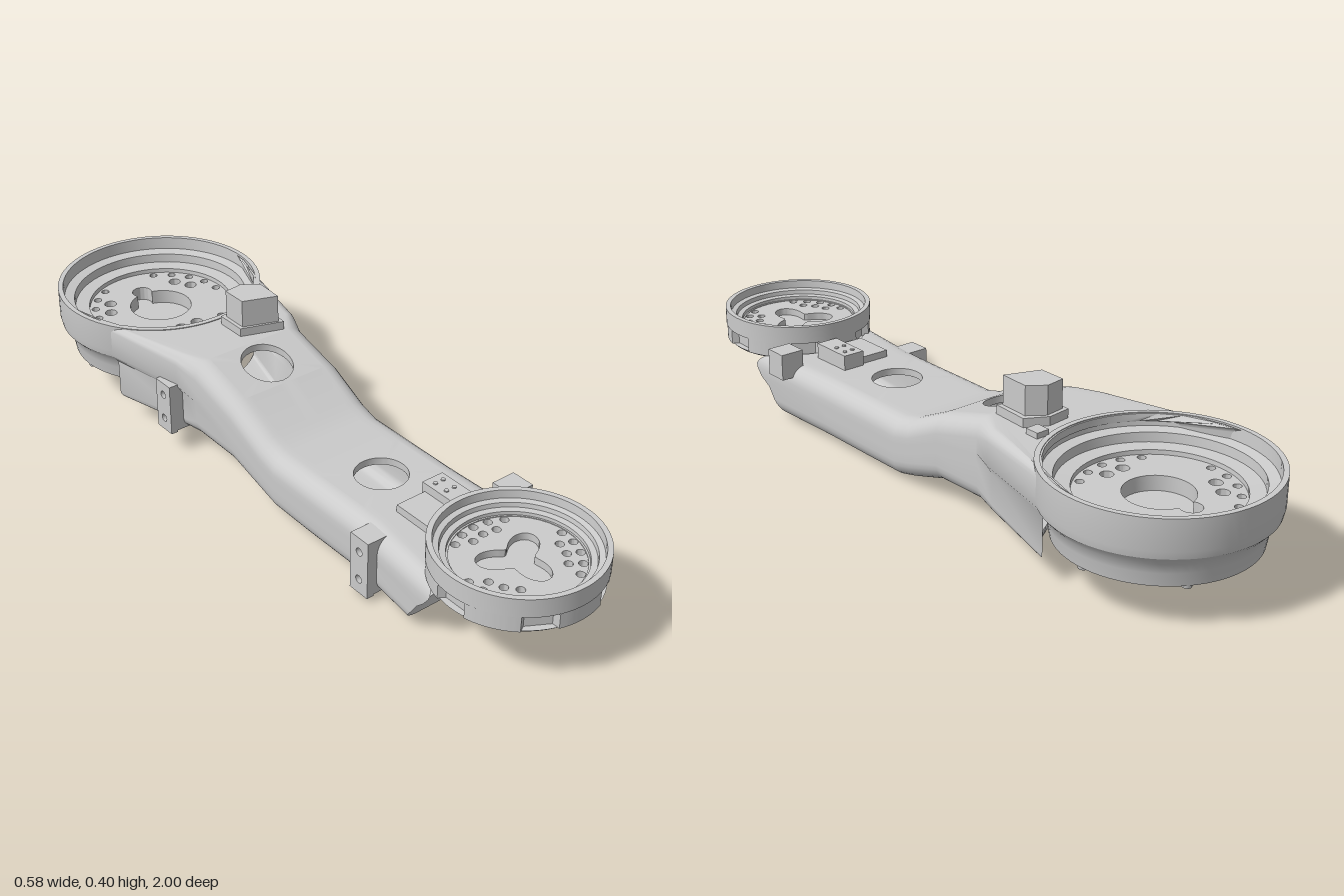
import * as THREE from 'three';
import { toCreasedNormals } from 'three/addons/utils/BufferGeometryUtils.js';

const grey = new THREE.MeshStandardMaterial({ color: 0xcccccc, side: THREE.DoubleSide });
const V = (x, y, z) => new THREE.Vector3(x, y, z);
const lerp = THREE.MathUtils.lerp;
const REAR = { x: 0, z: -0.71 }, FRONT = { x: -0.022, z: 0.788 };

function add(parent, name, geo, x = 0, y = 0, z = 0) {
  const m = new THREE.Mesh(geo, grey);
  m.name = name;
  m.position.set(x, y, z);
  parent.add(m);
  return m;
}
function box(parent, name, x0, x1, y0, y1, z0, z1) {
  return add(parent, name, new THREE.BoxGeometry(x1 - x0, y1 - y0, z1 - z0), (x0 + x1) / 2, (y0 + y1) / 2, (z0 + z1) / 2);
}
// Horizontal plate: shape y points to -z, thickness goes up
function slab(shape, h) {
  const g = new THREE.ExtrudeGeometry(shape, { depth: h, bevelEnabled: false, curveSegments: 20 });
  g.rotateX(-Math.PI / 2);
  return toCreasedNormals(g, 0.5);
}
function lathe(pts) {
  return toCreasedNormals(new THREE.LatheGeometry(pts.map(p => new THREE.Vector2(...p)), 72), 0.5);
}
function disc(r, holes = []) {
  const s = new THREE.Shape().absarc(0, 0, r, 0, Math.PI * 2, false);
  s.holes.push(...holes);
  return s;
}

// ---- hollow arm: rounded sections [z, centre, topHalf, lowHalf, bottom, top, radius, hole]
const SECTIONS = [
  [0.61, -0.02, 0.195, 0.19, 0.01, 0.178, 0.045],
  [0.45, -0.012, 0.18, 0.18, 0.01, 0.18, 0.05],
  [0.39, -0.012, 0.178, 0.178, 0.01, 0.18, 0.05, { x: -0.015, z: 0.3 }],
  [0.21, -0.012, 0.178, 0.178, 0.01, 0.18, 0.05],
  [0.08, -0.011, 0.178, 0.178, 0.012, 0.18, 0.05],
  [0.02, -0.01, 0.178, 0.178, 0.027, 0.196, 0.05],
  [-0.1, -0.01, 0.18, 0.18, 0.065, 0.253, 0.05, { x: -0.01, z: -0.18 }],
  [-0.26, -0.01, 0.18, 0.18, 0.068, 0.298, 0.05],
  [-0.33, -0.004, 0.2, 0.185, 0.067, 0.298, 0.03],
  [-0.5, 0, 0.283, 0.235, 0.065, 0.298, 0.015],
];
const M = 14, ARC = 6;

function ring([z, c, wt, wb, bot, top, r], index, inset) {
  if (inset) { wt -= 0.052; wb -= 0.052; bot += lerp(0.03, 0.015, index / 9); top -= 0.02; r = Math.max(0.012, r - 0.02); }
  const mid = lerp(bot, top, 0.6), pts = [];
  const arc = (cx, cy, a0, from, to) => {
    for (let k = from; k <= to; k++) {
      const a = a0 - k / ARC * Math.PI / 2;
      pts.push(V(cx + r * Math.cos(a), cy + r * Math.sin(a), z));
    }
  };
  for (let k = 0; k <= M; k++) pts.push(V(c + lerp(r - wt, wt - r, k / M), top, z));
  arc(c + wt - r, top - r, Math.PI / 2, 1, ARC);
  pts.push(V(c + wt, mid, z), V(c + wb, mid - 0.025, z));
  arc(c + wb - r, bot + r, 0, 0, ARC);
  for (let k = 1; k < M; k++) pts.push(V(c + lerp(wb - r, r - wb, k / M), bot, z));
  arc(c - wb + r, bot + r, -Math.PI / 2, 0, ARC);
  pts.push(V(c - wb, mid - 0.025, z), V(c - wt, mid, z));
  arc(c - wt + r, top - r, Math.PI, 0, ARC - 1);
  // Both ends follow the round seats; the front end also slants back toward the floor
  const seat = (s, R, x) => Math.sqrt(Math.max(0, R * R - (x - s.x) ** 2));
  if (index === 0) pts.forEach(p => { p.z = lerp(0.61, FRONT.z - seat(FRONT, 0.2, p.x), (p.y - 0.01) / 0.168); });
  if (index === SECTIONS.length - 1) pts.forEach(p => { p.z = REAR.z + seat(REAR, 0.272, p.x); });
  return pts;
}

function armGeometry() {
  const pos = [];
  const quad = (a, b, c, d) => [a, b, c, a, c, d].forEach(p => pos.push(p.x, p.y, p.z));
  const outer = SECTIONS.map((s, i) => ring(s, i, false));
  const inner = SECTIONS.map((s, i) => ring(s, i, true));
  const n = outer[0].length;
  // Top skin around a round access hole
  const patch = (A, B, h, flip, wallTo) => {
    const a = A[0], b = A[M], e = B[0], f = B[M], edge = [];
    [[a, b], [b, f], [f, e], [e, a]].forEach(([p, q]) => {
      for (let k = 0; k < 12; k++) edge.push(p.clone().lerp(q, k / 12));
    });
    const yAt = (z, P, Q) => lerp(P[0].y, Q[0].y, (z - a.z) / (e.z - a.z));
    const rim = (p, P, Q) => {
      const t = Math.atan2(p.z - h.z, p.x - h.x), z = h.z + 0.07 * Math.sin(t);
      return V(h.x + 0.07 * Math.cos(t), yAt(z, P, Q), z);
    };
    edge.forEach((p, k) => {
      const q = edge[(k + 1) % edge.length], rp = rim(p, A, B), rq = rim(q, A, B);
      flip ? quad(q, p, rp, rq) : quad(p, q, rq, rp);
      if (wallTo) quad(rp, rq, rim(q, ...wallTo), rim(p, ...wallTo));
    });
  };
  for (let i = 0; i < SECTIONS.length - 1; i++) {
    const hole = SECTIONS[i][7];
    for (let j = 0; j < n; j++) {
      if (hole && j < M) continue;
      const k = (j + 1) % n;
      quad(outer[i][j], outer[i][k], outer[i + 1][k], outer[i + 1][j]);
      quad(inner[i][k], inner[i][j], inner[i + 1][j], inner[i + 1][k]);
    }
    if (hole) {
      patch(outer[i], outer[i + 1], hole, false, [inner[i], inner[i + 1]]);
      patch(inner[i], inner[i + 1], hole, true);
    }
  }
  const e = SECTIONS.length - 1;
  for (let j = 0; j < n; j++) {
    const k = (j + 1) % n;
    quad(outer[0][k], outer[0][j], inner[0][j], inner[0][k]);
    quad(outer[e][j], outer[e][k], inner[e][k], inner[e][j]);
  }
  const g = new THREE.BufferGeometry();
  g.setAttribute('position', new THREE.Float32BufferAttribute(pos, 3));
  return toCreasedNormals(g, 0.6);
}

// Three groups of bolt holes; rows are [radius, count, step, holeRadius]
function boltHoles(first, rows) {
  const out = [];
  for (let g = 0; g < 3; g++) for (const [R, count, step, r] of rows) for (let k = 0; k < count; k++) {
    const a = first + g * Math.PI * 2 / 3 + (k - (count - 1) / 2) * step;
    out.push(new THREE.Path().absarc(R * Math.cos(a), R * Math.sin(a), r, 0, Math.PI * 2, true));
  }
  return out;
}

// Side lug with two screw holes, facing -x
function sideLug(parent, x0, x1, y0, y1, z0, z1) {
  const w = z1 - z0, h = y1 - y0;
  const s = new THREE.Shape([[0, 0], [w, 0], [w, h], [0, h]].map(p => new THREE.Vector2(...p)));
  [0.25, 0.75].forEach(t => s.holes.push(new THREE.Path().absarc(w / 2, h * t, 0.011, 0, Math.PI * 2, true)));
  const g = new THREE.ExtrudeGeometry(s, { depth: 0.02, bevelEnabled: false });
  g.rotateY(-Math.PI / 2);
  add(parent, 'sideLugPlate', g, x0 + 0.02, y0, z0);
  box(parent, 'sideLugBase', x0 + 0.02, x1, y0 + 0.005, y1, z0, z1);
}

export function createModel() {
  const root = new THREE.Group();
  root.name = 'armLink';
  add(root, 'hollowArm', armGeometry());

  // Large rear joint
  const rear = new THREE.Group();
  rear.name = 'rearJoint';
  rear.position.set(REAR.x, 0, REAR.z);
  root.add(rear);
  add(rear, 'rearCup', lathe([[0.2, 0.13], [0.225, 0.13], [0.23, 0.115], [0.252, 0.115], [0.258, 0.15], [0.264, 0.175],
    [0.286, 0.2], [0.29, 0.22], [0.29, 0.3], [0.276, 0.3], [0.274, 0.265], [0.246, 0.26], [0.244, 0.235], [0.205, 0.232], [0.204, 0.215]]));
  const rearBolts = () => boltHoles(-Math.PI / 2, [[0.188, 5, 0.29, 0.011], [0.147, 2, 0.36, 0.017]]);
  const keyhole = new THREE.Path();
  keyhole.absarc(0, 0, 0.088, Math.PI * 0.59, Math.PI * 2.41, false);
  keyhole.absarc(0, 0.1, 0.028, -0.5, Math.PI + 0.5, false);
  add(rear, 'rearLowerPlate', slab(disc(0.235, rearBolts()), 0.05), 0, 0.13, 0);
  add(rear, 'rearUpperPlate', slab(disc(0.21, [...rearBolts(), keyhole]), 0.04), 0, 0.18, 0);
  for (let k = 0; k < 6; k++) {
    const a = k * Math.PI / 3;
    add(rear, 'rearFoot', new THREE.CylinderGeometry(0.016, 0.012, 0.025, 16), 0.237 * Math.cos(a), 0.118, 0.237 * Math.sin(a));
  }

  // Small front joint
  const front = new THREE.Group();
  front.name = 'frontJoint';
  front.position.set(FRONT.x, 0, FRONT.z);
  root.add(front);
  add(front, 'frontCup', lathe([[0.16, 0.215], [0.212, 0.215], [0.212, 0.265], [0.198, 0.265], [0.196, 0.243],
    [0.182, 0.24], [0.18, 0.228], [0.165, 0.226], [0.164, 0.212]]));
  // Skirt with six flat-backed pockets
  const outline = [];
  for (let k = 0; k < 180; k++) {
    const a = k * Math.PI / 90, d = a - Math.round(a / (Math.PI / 3)) * Math.PI / 3;
    const r = Math.abs(d) < 0.2 ? 0.188 / Math.cos(d) : 0.21;
    outline.push(new THREE.Vector2(r * Math.cos(a), r * Math.sin(a)));
  }
  const skirt = new THREE.Shape(outline);
  skirt.holes.push(new THREE.Path().absarc(0, 0, 0.16, 0, Math.PI * 2, true));
  add(front, 'frontSkirt', slab(skirt, 0.045), 0, 0.172, 0);
  add(front, 'frontSkirtEdge', lathe([[0.16, 0.165], [0.198, 0.165], [0.206, 0.173], [0.16, 0.173]]));
  const frontBolts = () => boltHoles(Math.PI / 2, [[0.148, 5, 0.28, 0.011], [0.115, 3, 0.33, 0.011]]);
  const trefoil = new THREE.Path();
  trefoil.setFromPoints(Array.from({ length: 60 }, (_, k) => {
    const a = k * Math.PI / 30, r = 0.07 + 0.03 * Math.cos(3 * (a + Math.PI / 2));
    return new THREE.Vector2(r * Math.cos(a), r * Math.sin(a));
  }));
  add(front, 'frontLowerPlate', slab(disc(0.17, frontBolts()), 0.03), 0, 0.165, 0);
  add(front, 'frontUpperPlate', slab(disc(0.17, [...frontBolts(), trefoil]), 0.02), 0, 0.195, 0);

  // Tall post with flared base
  const post = new THREE.Shape([[0.005, 0.385], [0.06, 0.392], [0.104, 0.36], [0.1, 0.275], [0.005, 0.31]].reverse().map(p => new THREE.Vector2(...p)));
  add(root, 'post', slab(post, 0.09), 0, 0.31, 0);
  const base = new THREE.Shape([[-0.006, 0.395], [0.06, 0.402], [0.118, 0.37], [0.112, 0.265], [-0.006, 0.305]].reverse().map(p => new THREE.Vector2(...p)));
  add(root, 'postBase', slab(base, 0.032), 0, 0.29, 0);
  box(root, 'smallBlock', 0.098, 0.136, 0.285, 0.313, -0.44, -0.4);

  // Mounting pads and lugs
  box(root, 'topPadHigh', 0.0, 0.065, 0.16, 0.223, 0.435, 0.565);
  box(root, 'topPadLow', -0.09, 0.0, 0.16, 0.2, 0.445, 0.57);
  [[0.02, 0.46], [0.045, 0.46], [0.02, 0.5], [0.045, 0.5]].forEach(([x, z]) =>
    add(root, 'padPin', new THREE.CylinderGeometry(0.006, 0.006, 0.004, 12), x, 0.224, z));
  box(root, 'rightLug', 0.13, 0.2, 0.15, 0.225, 0.545, 0.612);
  sideLug(root, -0.225, -0.15, 0.012, 0.175, 0.435, 0.5);
  sideLug(root, -0.23, -0.17, 0.062, 0.21, -0.39, -0.325);

  // Raised bars on the underside
  [[0.23, 0], [-0.23, 0.048]].forEach(([z, y]) => {
    const s = new THREE.Shape();
    s.absarc(0.075, 0, 0.019, -Math.PI / 2, Math.PI / 2, false);
    s.absarc(-0.095, 0, 0.019, Math.PI / 2, Math.PI * 1.5, false);
    add(root, 'undersideBar', slab(s, 0.024), 0, y, z);
  });
  return root;
}
